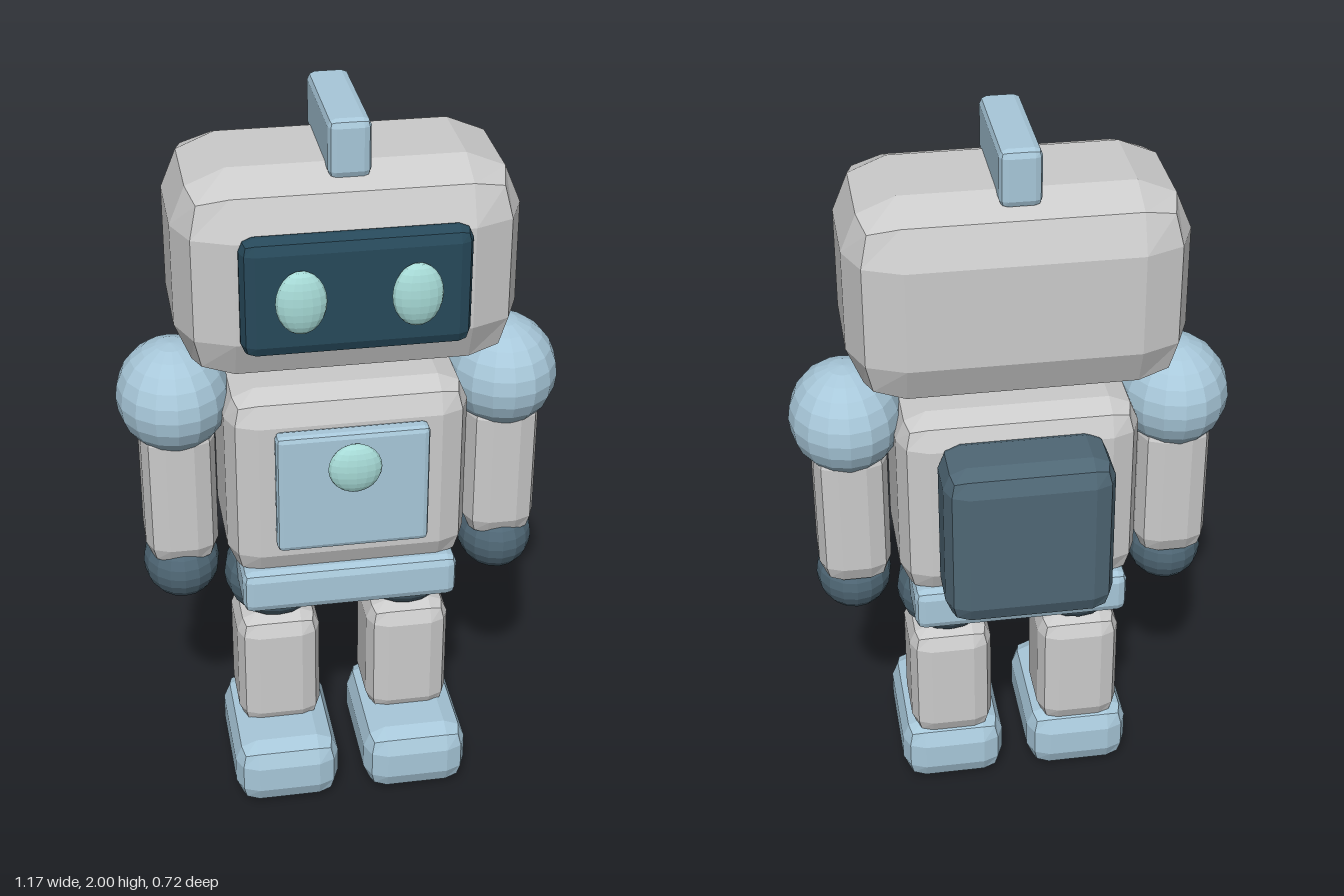
import * as THREE from 'three';
import { RoundedBoxGeometry } from 'three/addons/geometries/RoundedBoxGeometry.js';

const paint = (color) => new THREE.MeshStandardMaterial({ color, flatShading: true });

export function createModel() {
  const robot = new THREE.Group();
  robot.name = 'robot';

  const grey = paint(0xcccccc);
  const blue = paint(0xa8c8da);
  const dark = paint(0x4f6775);
  const glass = paint(0x27495a);
  const mint = paint(0xa8dcd8);

  const add = (name, geometry, material, position) => {
    const mesh = new THREE.Mesh(geometry, material);
    mesh.name = name;
    mesh.position.set(...position);
    robot.add(mesh);
  };
  // Box with a two-step bevel of radius r
  const block = (name, material, size, r, position) =>
    add(name, new RoundedBoxGeometry(...size, 1, r), material, position);
  // Low-poly ellipsoid
  const ball = (name, material, radii, position) =>
    add(name, new THREE.SphereGeometry(1, 16, 12).scale(...radii), material, position);

  // Head
  block('head', grey, [0.87, 0.55, 0.515], 0.14, [0, 1.602, 0.017]);
  block('headFin', blue, [0.106, 0.15, 0.362], 0.02, [0, 1.925, 0.015]);
  block('visor', glass, [0.57, 0.312, 0.08], 0.035, [0, 1.6, 0.28]);

  // Body
  block('torso', grey, [0.64, 0.55, 0.405], 0.08, [0, 0.995, 0.015]);
  block('chestPlate', blue, [0.4, 0.344, 0.05], 0.015, [0, 1.012, 0.239]);
  ball('chestButton', mint, [0.07, 0.07, 0.027], [0, 1.094, 0.281]);
  block('backpack', dark, [0.444, 0.466, 0.225], 0.06, [0, 0.983, -0.252]);
  block('belt', blue, [0.58, 0.124, 0.432], 0.025, [0, 0.689, 0.017]);

  // Paired parts
  for (const [side, s] of [['left', 1], ['right', -1]]) {
    ball(side + 'Eye', mint, [0.063, 0.083, 0.028], [s * 0.142, 1.602, 0.332]);
    ball(side + 'Shoulder', blue, [0.149, 0.149, 0.17], [s * 0.438, 1.205, 0.015]);
    block(side + 'Arm', grey, [0.195, 0.44, 0.236], 0.06, [s * 0.435, 0.945, 0.013]);
    ball(side + 'Hand', dark, [0.103, 0.103, 0.12], [s * 0.437, 0.698, 0.027]);
    ball(side + 'Hip', dark, [0.138, 0.13, 0.138], [s * 0.182, 0.625, 0.016]);
    block(side + 'Leg', grey, [0.23, 0.37, 0.25], 0.055, [s * 0.182, 0.345, 0.018]);
    block(side + 'Foot', blue, [0.29, 0.194, 0.408], 0.06, [s * 0.182, 0.097, 0.087]);
  }

  return robot;
}
